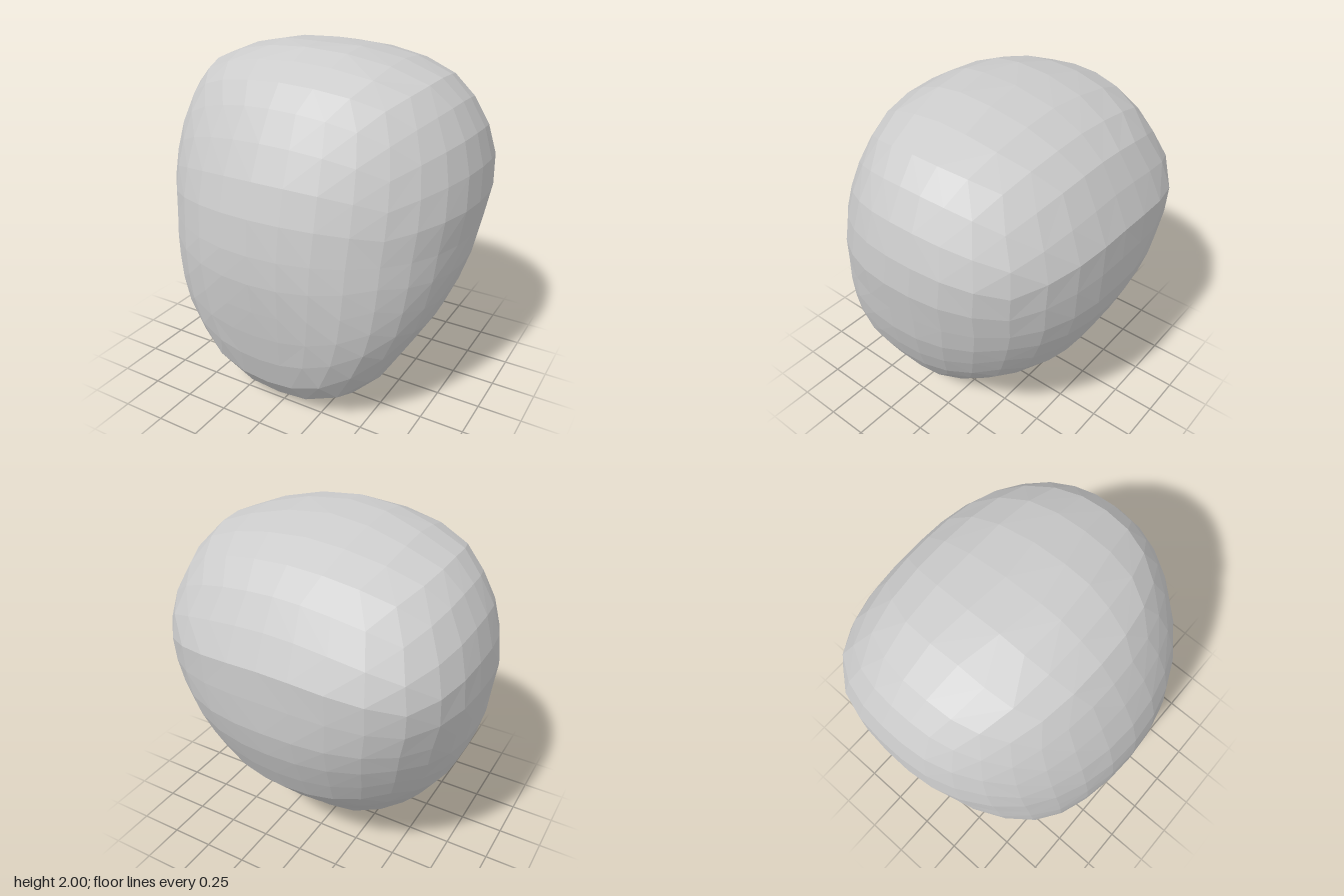
import * as THREE from 'three';

// Rings from crown to chin: [height, half width, front z, back z]
const RINGS = [
  [2.0, 0, 0.1, 0.1],
  [1.99, 0.23, 0.22, -0.11],
  [1.94, 0.45, 0.34, -0.34],
  [1.86, 0.65, 0.47, -0.51],
  [1.75, 0.76, 0.56, -0.64],
  [1.6, 0.845, 0.65, -0.73],
  [1.43, 0.89, 0.73, -0.81],
  [1.25, 0.9, 0.78, -0.81],
  [1.06, 0.87, 0.8, -0.8],
  [0.9, 0.845, 0.8, -0.76],
  [0.73, 0.795, 0.78, -0.69],
  [0.57, 0.73, 0.755, -0.61],
  [0.4, 0.63, 0.72, -0.46],
  [0.22, 0.52, 0.66, -0.28],
  [0.08, 0.37, 0.55, -0.15],
  [0.01, 0.19, 0.39, 0.0],
  [0, 0, 0.2, 0.2],
];

// Corner fullness by height: [height, front, back at +x, back at -x]
const FULLNESS = [
  [0, 2.5, 2.1, 2.1],
  [0.45, 2.85, 2.15, 2.2],
  [0.9, 2.25, 2.35, 2.6],
  [1.3, 2.0, 2.5, 3.1],
  [1.6, 2.0, 2.3, 2.7],
  [1.85, 2.1, 2.1, 2.3],
  [2, 2.1, 2.1, 2.1],
];

// Smooth curve through rows of values
const curveThrough = (knots, rows) =>
  new THREE.CubicInterpolant(knots, rows.flat(), rows[0].length);

// Split every quad along its outer diagonal so the facets stay convex
function splitQuadsOutward(geometry, centre) {
  const { index, attributes: { position } } = geometry;
  const p = new THREE.Vector3(), q = new THREE.Vector3();
  const reach = (i, j) =>
    p.fromBufferAttribute(position, i).add(q.fromBufferAttribute(position, j)).multiplyScalar(0.5).distanceTo(centre);
  for (let i = 0; i < index.count; i += 6) {
    const a = index.getX(i), b = index.getX(i + 1), c = index.getX(i + 4), d = index.getX(i + 2);
    if (reach(a, c) > reach(b, d)) index.array.set([a, b, c, a, c, d], i);
  }
}

export function createModel() {
  const group = new THREE.Group();
  group.name = 'headForm';

  const rings = curveThrough(RINGS.map((_, i) => (i * Math.PI) / (RINGS.length - 1)), RINGS);
  const fullness = curveThrough(FULLNESS.map((row) => row[0]), FULLNESS);

  // Cube-topology ball, 8 quads per side, so the poles stay evenly gridded
  const geometry = new THREE.BoxGeometry(2, 2, 2, 8, 8, 8);
  const pos = geometry.attributes.position;
  const d = new THREE.Vector3();
  for (let i = 0; i < pos.count; i++) {
    d.fromBufferAttribute(pos, i);
    // Even angular spacing on every cube side
    d.set(...d.toArray().map((v) => Math.tan((v * Math.PI) / 4))).normalize();
    const [y, width, front, back] = rings.evaluate(Math.acos(THREE.MathUtils.clamp(d.y, -1, 1)));
    const [, frontN, backLeftN, backRightN] = fullness.evaluate(THREE.MathUtils.clamp(y, 0, 2));
    const angle = Math.atan2(d.z, d.x);
    const c = Math.cos(angle), s = Math.sin(angle);
    // Superellipse cross-section
    const n = s > 0 ? frontN : c > 0 ? backLeftN : backRightN;
    const r = Math.pow(Math.abs(c) ** n + Math.abs(s) ** n, -1 / n);
    pos.setXYZ(i, width * c * r, y, (front + back) / 2 + ((front - back) / 2) * s * r);
  }
  splitQuadsOutward(geometry, new THREE.Vector3(0, 1, 0));
  geometry.computeVertexNormals();

  const material = new THREE.MeshStandardMaterial({ color: 0xcccccc, flatShading: true });
  const head = new THREE.Mesh(geometry, material);
  head.name = 'head';
  group.add(head);
  return group;
}
